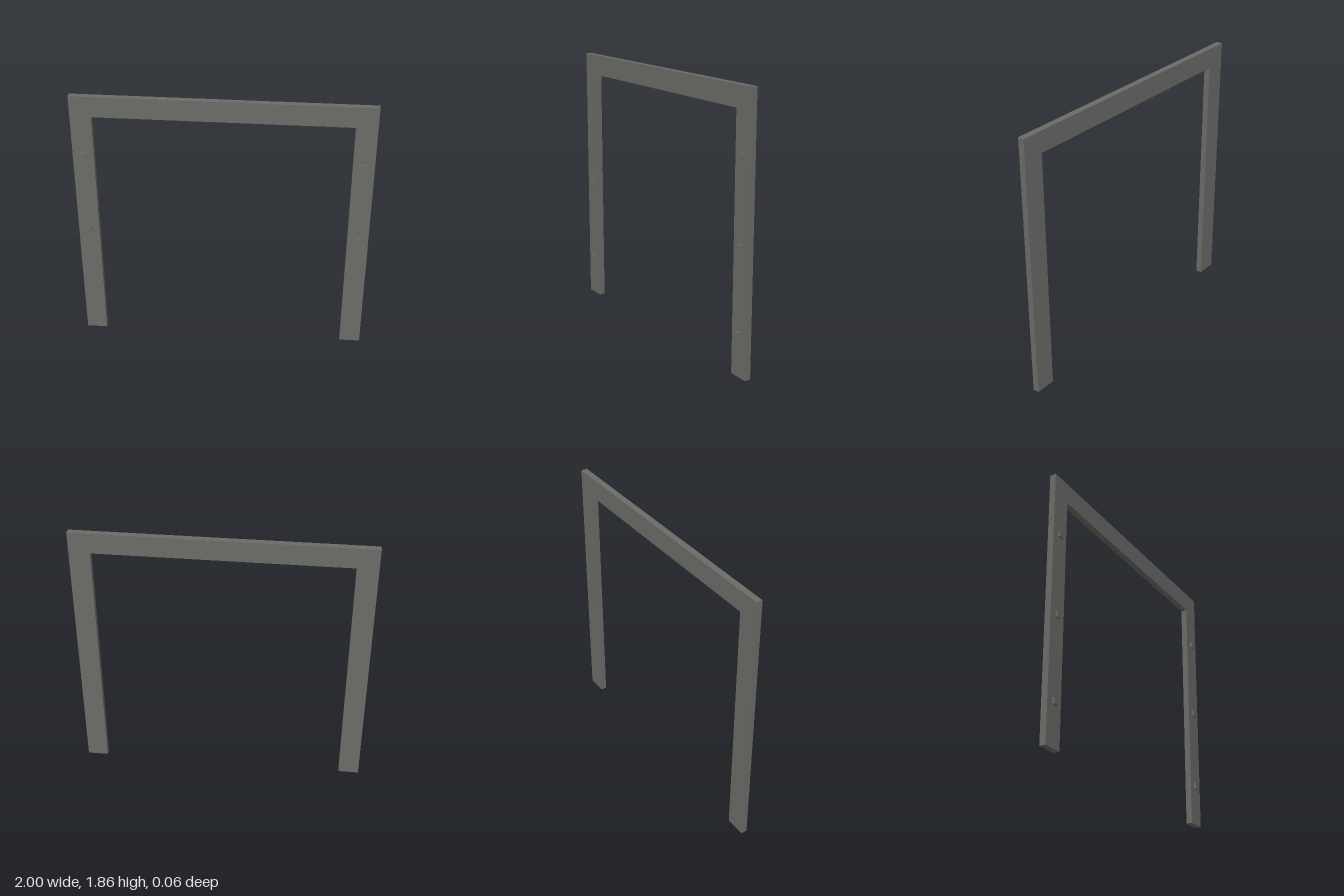
import * as THREE from 'three';

export function createModel() {
  const group = new THREE.Group();
  const grey = new THREE.MeshStandardMaterial({ color: 0x6b6c68 });
  grey.name = 'warm grey';

  const height = 1.86, bar = 0.143, back = -0.029, front = 0.014, pegFront = 0.029;

  // Door frame: two jambs and a lintel as one solid outline
  const inner = 1 - bar;
  const outline = new THREE.Shape([
    [-1, 0], [-inner, 0], [-inner, height - bar], [inner, height - bar],
    [inner, 0], [1, 0], [1, height], [-1, height],
  ].map(([x, y]) => new THREE.Vector2(x, y)));
  const frame = new THREE.Mesh(
    new THREE.ExtrudeGeometry(outline, { depth: front - back, bevelEnabled: false }), grey);
  frame.name = 'frame';
  frame.position.z = back;
  group.add(frame);

  // Three square pegs on the front of each jamb
  const pegGeometry = new THREE.BoxGeometry(0.04, 0.04, pegFront - front);
  for (const side of [-1, 1]) {
    [0.289, 0.861, 1.433].forEach((y, i) => {
      const peg = new THREE.Mesh(pegGeometry, grey);
      peg.name = `${side > 0 ? 'left' : 'right'}Peg${i + 1}`;
      peg.position.set(side * (1 - bar / 2), y, (front + pegFront) / 2);
      group.add(peg);
    });
  }

  return group;
}
